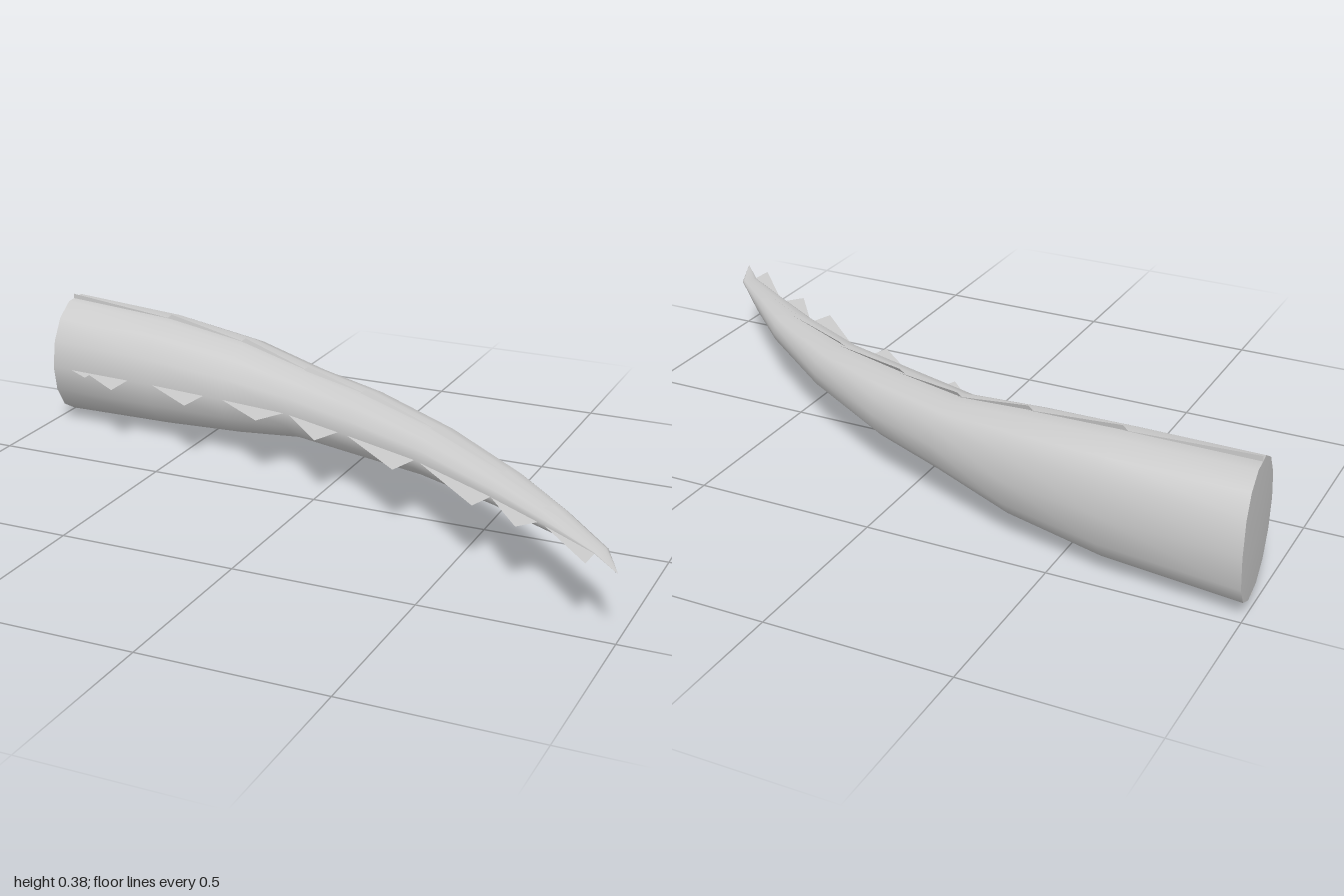
import * as THREE from 'three';

const MID = 0.188; // height of the symmetry plane
const SIDES = 14;

// Stations along the horn: outer x, z, inner x, z, half height
const stations = [
  [-1, -0.53, -0.97, -0.215, 0.178],
  [-0.62, -0.495, -0.63, -0.19, 0.164],
  [-0.34, -0.435, -0.37, -0.16, 0.138],
  [-0.1, -0.345, -0.15, -0.13, 0.1],
  [0.12, -0.255, 0.06, -0.05, 0.088],
  [0.39, -0.1, 0.31, 0.05, 0.065],
  [0.64, 0.09, 0.57, 0.2, 0.042],
  [0.8, 0.245, 0.74, 0.31, 0.027],
  [0.94, 0.39, 0.915, 0.43, 0.003],
  [1, 0.52, 0.998, 0.518, 0.0005],
];

const solid = new THREE.MeshStandardMaterial({ color: 0xcccccc });
const thin = new THREE.MeshStandardMaterial({ color: 0xcccccc, side: THREE.DoubleSide });

function makeMesh(name, points, index, material) {
  const geometry = new THREE.BufferGeometry();
  geometry.setAttribute('position', new THREE.Float32BufferAttribute(points.flat(), 3));
  geometry.setIndex(index);
  geometry.computeVertexNormals();
  const mesh = new THREE.Mesh(geometry, material);
  mesh.name = name;
  return mesh;
}

// Rounded cross-section, fuller on the outer side of the curve
function ring([ox, oz, ix, iz, h]) {
  return Array.from({ length: SIDES }, (_, j) => {
    const t = (j / SIDES) * Math.PI * 2;
    const c = Math.cos(t), s = Math.sin(t);
    const power = c < 0 ? 0.8 : 1;
    const u = Math.sign(c) * Math.abs(c) ** power;
    const v = Math.sign(s) * Math.abs(s) ** power;
    return [(ox + ix) / 2 + (u * (ix - ox)) / 2, MID + v * h, (oz + iz) / 2 + (u * (iz - oz)) / 2];
  });
}

function middle([ox, oz, ix, iz], lift) {
  return [(ox + ix) / 2, MID + lift, (oz + iz) / 2];
}

export function createModel() {
  const model = new THREE.Group();
  model.name = 'curvedHorn';

  // Tapering curved body
  const index = [];
  for (let k = 0; k < stations.length - 1; k++) {
    for (let j = 0; j < SIDES; j++) {
      const n = (j + 1) % SIDES;
      const a = k * SIDES + j, b = k * SIDES + n;
      const c = a + SIDES, d = b + SIDES;
      index.push(a, c, b, b, c, d);
    }
  }
  model.add(makeMesh('body', stations.flatMap(ring), index, solid));

  // Closed thick end
  const capIndex = [];
  for (let j = 0; j < SIDES; j++) capIndex.push(SIDES, j, (j + 1) % SIDES);
  model.add(makeMesh('endCap', [...ring(stations[0]), [-0.993, MID, -0.385]], capIndex, solid));

  // Flat teeth along the inner edge: base start, point, base end (x, z)
  const teeth = [
    [-0.92, -0.22, -0.83, -0.165, -0.83, -0.21],
    [-0.87, -0.22, -0.7, -0.1, -0.7, -0.2],
    [-0.63, -0.2, -0.44, -0.07, -0.43, -0.17],
    [-0.38, -0.17, -0.2, -0.045, -0.15, -0.14],
    [-0.15, -0.14, 0.015, 0.03, 0.05, -0.06],
    [0.06, -0.06, 0.29, 0.14, 0.32, 0.04],
    [0.31, 0.04, 0.56, 0.28, 0.59, 0.19],
    [0.57, 0.19, 0.7, 0.36, 0.75, 0.3],
    [0.74, 0.3, 0.915, 0.495, 0.92, 0.42],
  ];
  const innerTeeth = new THREE.Group();
  innerTeeth.name = 'innerTeeth';
  for (const [ax, az, bx, bz, cx, cz] of teeth) {
    innerTeeth.add(makeMesh('tooth', [[ax, MID, az], [bx, MID, bz], [cx, MID, cz]], [0, 1, 2], thin));
  }
  model.add(innerTeeth);

  // Low upright ridges along the top and underside
  for (const side of [1, -1]) {
    const ridges = new THREE.Group();
    ridges.name = side > 0 ? 'topRidges' : 'bottomRidges';
    for (let k = 0; k < 8; k++) {
      const s = stations[k], next = stations[k + 1];
      const base = middle(s, side * s[4] * 0.9);
      const peak = middle(s, side * (s[4] + 0.01));
      const end = middle(next, side * next[4] * 0.98);
      if (k > 0) base[0] -= 0.03;
      ridges.add(makeMesh('ridge', [base, peak, end], [0, 1, 2], thin));
    }
    model.add(ridges);
  }

  return model;
}
